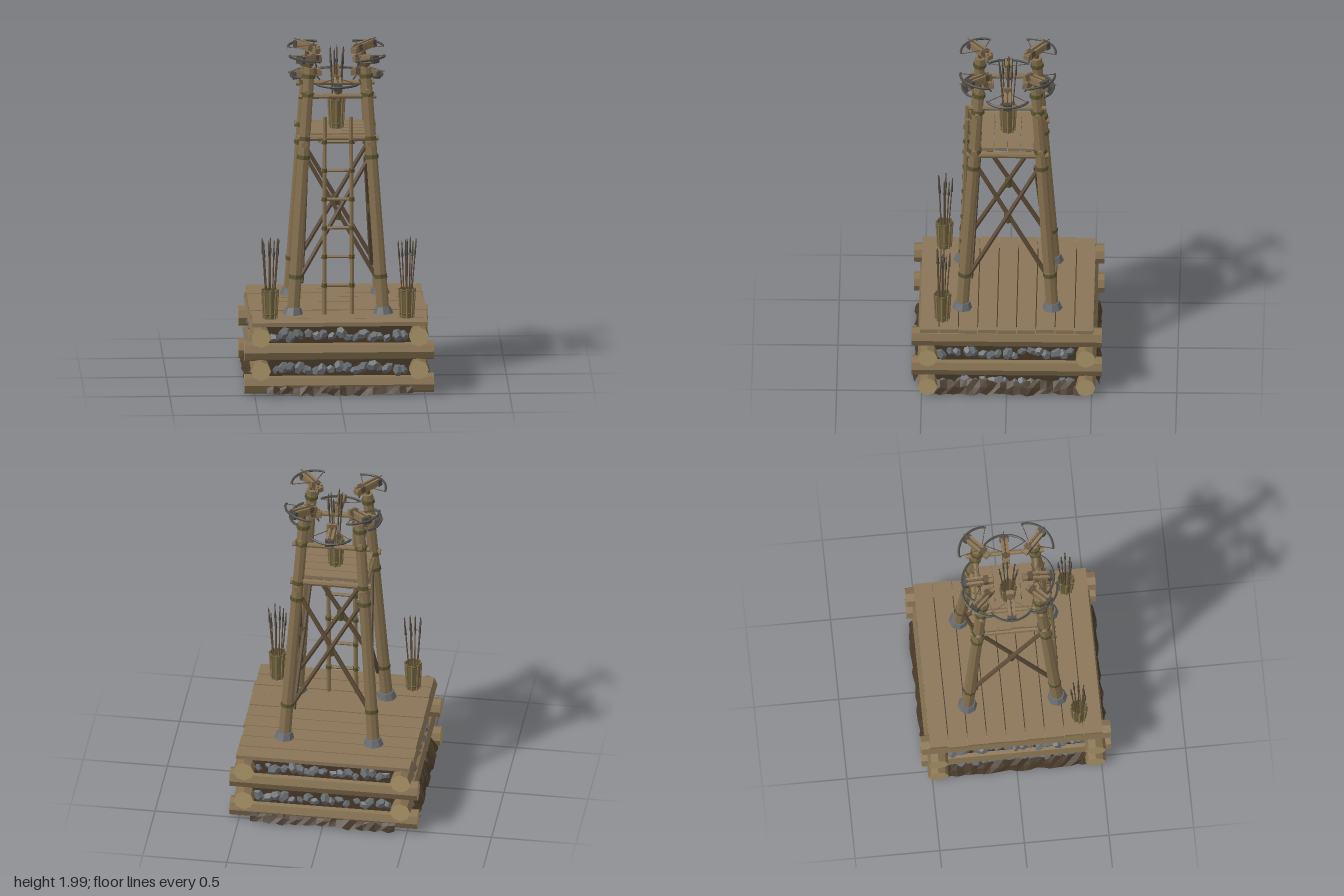
import * as THREE from 'three';

const mat = (color, side = THREE.FrontSide) => new THREE.MeshStandardMaterial({ color, flatShading: true, side });
const WOOD = mat(0x85704f), DARK = mat(0x5f4d38), PLANK = mat(0x8a7557), END = mat(0xae986c);
const STONE = mat(0x686c70), DIRT = mat(0x463828, THREE.DoubleSide), ROPE = mat(0x57522f), METAL = mat(0x4c4a45);
const V = (x, y, z) => new THREE.Vector3(x, y, z);

let seed = 7;
const rnd = () => (seed = (seed * 16807) % 2147483647) / 2147483647;
const jit = (a) => (rnd() - 0.5) * 2 * a;

function add(parent, name, geo, material, x = 0, y = 0, z = 0) {
  const m = new THREE.Mesh(geo, material);
  m.name = name;
  m.position.set(x, y, z);
  parent.add(m);
  return m;
}

// Round timber running from a to b
function pole(parent, name, a, b, r1, r2 = r1, material = WOOD, sides = 8) {
  const d = b.clone().sub(a);
  const m = add(parent, name, new THREE.CylinderGeometry(r2, r1, d.length(), sides), material);
  m.position.copy(a).addScaledVector(d, 0.5);
  m.quaternion.setFromUnitVectors(V(0, 1, 0), d.normalize());
  return m;
}

function box(parent, name, w, h, d, material, x, y, z) {
  return add(parent, name, new THREE.BoxGeometry(w, h, d), material, x, y, z);
}

// Ragged earth strip along x, sloping outwards towards +z
function earthSkirt(parent) {
  const n = 22, geo = new THREE.PlaneGeometry(0.86, 1, n, 2), p = geo.attributes.position;
  const rows = [[0.08, 0.5], [0.045, 0.53], [0.012, 0.548]];
  for (let i = 0; i < p.count; i++) {
    const [y, z] = rows[Math.floor(i / (n + 1))];
    p.setXYZ(i, p.getX(i), Math.max(0, y + jit(0.011)), z + jit(0.008));
  }
  geo.computeVertexNormals();
  add(parent, 'earthSkirt', geo, DIRT);
}

// Log crib with rubble packed in the gaps
function buildBase(root) {
  const base = new THREE.Group();
  base.name = 'base';
  root.add(base);
  const logMats = [WOOD, END, END];
  for (const s of [-1, 1]) {
    for (const y of [0.065, 0.262])
      pole(base, 'crossLog', V(-0.56, y, s * 0.465), V(0.556, y, s * 0.465), 0.06, 0.058, logMats);
    for (const y of [0.16, 0.36])
      pole(base, 'sideLog', V(s * 0.465, y, -0.56), V(s * 0.465, y, 0.56), 0.06, 0.058, logMats);
  }
  for (let k = 0; k < 4; k++) {
    const side = new THREE.Group();
    side.name = 'rubbleWall';
    side.rotation.y = k * Math.PI / 2;
    base.add(side);
    for (const y of k % 2 ? [0.06, 0.262] : [0.162, 0.36]) {
      box(side, 'earthFill', 0.86, 0.1, 0.06, DIRT, 0, y, 0.455);
      for (let i = 0; i < 17; i++) {
        const st = add(side, 'rubbleStone', new THREE.DodecahedronGeometry(0.03 + rnd() * 0.012), STONE,
          -0.38 + i * 0.0475 + jit(0.01), y + jit(0.016), 0.478 + jit(0.008));
        st.scale.set(1.1, 0.65 + rnd() * 0.25, 0.8);
        st.rotation.set(rnd() * 0.8, rnd() * 3, rnd() * 0.8);
      }
    }
    earthSkirt(side);
  }
  // Deck
  for (let i = 0; i < 9; i++)
    box(base, 'deckPlank', 1.035 + jit(0.006), 0.024, 0.108, PLANK, jit(0.004), 0.426 + jit(0.002), -0.455 + i * 0.1138);
  box(base, 'deckUnderside', 0.86, 0.008, 0.86, DIRT, 0, 0.41, 0);
}

// Inward-leaning leg centre line
const legAt = (y) => 0.265 - 0.1 * (y - 0.44) / 1.46;

function buildTower(root) {
  const tower = new THREE.Group();
  tower.name = 'tower';
  root.add(tower);
  const at = (sx, y, sz) => V(sx * legAt(y), y, sz * legAt(y));
  for (const sx of [-1, 1]) for (const sz of [-1, 1]) {
    pole(tower, 'leg', at(sx, 0.44, sz), at(sx, 1.9, sz), 0.037, 0.031);
    pole(tower, 'stoneFoot', at(sx, 0.436, sz), at(sx, 0.478, sz), 0.06, 0.045, STONE);
    for (const y of [0.66, 1.37, 1.48, 1.74, 1.85])
      pole(tower, 'legLashing', at(sx, y - 0.012, sz), at(sx, y + 0.012, sz), 0.04, 0.039, ROPE);
  }
  // Cross braces, platform beams and top rails on each side
  for (let k = 0; k < 4; k++) {
    const side = new THREE.Group();
    side.name = 'towerSide';
    side.rotation.y = k * Math.PI / 2;
    tower.add(side);
    for (const s of [-1, 1]) {
      const o = s * 0.012 - 0.025;
      pole(side, 'crossBrace', V(-s * 0.24, 0.62, legAt(0.62) + o), V(s * 0.19, 1.37, legAt(1.37) + o), 0.014, 0.013, DARK, 6);
    }
    pole(side, 'braceLashing', V(0, 0.99, 0.2), V(0, 1.05, 0.196), 0.022, 0.022, ROPE, 6);
    const beamY = k % 2 ? 1.45 : 1.482, railY = k % 2 ? 1.765 : 1.73;
    pole(side, 'platformBeam', V(-0.24, beamY, 0.195), V(0.24, beamY, 0.195), 0.019);
    pole(side, 'topRail', V(-0.23, railY, 0.178), V(0.23, railY, 0.178), 0.015);
    for (const s of [-1, 1]) {
      pole(side, 'beamLashing', V(s * 0.18, beamY, 0.195), V(s * 0.205, beamY, 0.195), 0.026, 0.026, ROPE);
      pole(side, 'railLashing', V(s * 0.165, railY, 0.178), V(s * 0.19, railY, 0.178), 0.021, 0.021, ROPE);
    }
  }
  // Platform floor
  for (let i = 0; i < 4; i++)
    box(tower, 'platformPlank', 0.4 + jit(0.01), 0.02, 0.073, PLANK, 0, 1.49, -0.117 + i * 0.078);
  for (const x of [-0.1, 0.1]) box(tower, 'platformJoist', 0.03, 0.025, 0.38, WOOD, x, 1.466, 0);
}

function buildLadder(root) {
  const ladder = new THREE.Group();
  ladder.name = 'ladder';
  root.add(ladder);
  const zAt = (y) => 0.275 - 0.035 * (y - 0.44) / 1.18;
  for (const s of [-1, 1])
    pole(ladder, 'ladderRail', V(s * 0.082, 0.438, zAt(0.44)), V(s * 0.077, 1.62, zAt(1.62)), 0.014, 0.013, WOOD, 6);
  for (let i = 0; i < 6; i++) {
    const y = 0.61 + i * 0.172;
    pole(ladder, 'rung', V(-0.1, y, zAt(y)), V(0.1, y, zAt(y)), 0.01, 0.01, WOOD, 6);
    for (const s of [-1, 1])
      pole(ladder, 'rungLashing', V(s * 0.08, y - 0.012, zAt(y)), V(s * 0.08, y + 0.012, zAt(y)), 0.018, 0.018, ROPE, 6);
  }
}

// Open tub of slats holding javelins
function quiver(root, x, y, z) {
  const g = new THREE.Group();
  g.name = 'quiver';
  g.position.set(x, y, z);
  root.add(g);
  const tub = mat(0x6b6038, THREE.DoubleSide);
  add(g, 'quiverWall', new THREE.CylinderGeometry(0.046, 0.037, 0.175, 8, 1, true), tub, 0, 0.0875, 0);
  add(g, 'quiverFloor', new THREE.CylinderGeometry(0.037, 0.037, 0.01, 8), DARK, 0, 0.008, 0);
  for (const [h, r] of [[0.03, 0.039], [0.168, 0.046]])
    add(g, 'quiverHoop', new THREE.TorusGeometry(r, 0.005, 5, 8), ROPE, 0, h, 0).rotation.set(Math.PI / 2, 0, Math.PI / 8);
  for (let i = 0; i < 8; i++) {
    const a = i * Math.PI / 4, c = Math.cos(a), s = Math.sin(a);
    pole(g, 'quiverSlat', V(c * 0.038, 0, s * 0.038), V(c * 0.048, 0.178, s * 0.048), 0.006, 0.006, WOOD, 4);
  }
  for (let i = 0; i < 7; i++) {
    const a = i * 2.4, c = Math.cos(a), s = Math.sin(a), h = 0.44 + rnd() * 0.04, r = 0.03 + rnd() * 0.025;
    const tip = V(c * r, h, s * r), foot = V(c * 0.018, 0.02, s * 0.018);
    pole(g, 'javelin', foot, tip, 0.004, 0.004, DARK, 5);
    const neck = foot.clone().lerp(tip, 0.82);
    pole(g, 'javelinFletching', neck, foot.clone().lerp(tip, 0.94), 0.007, 0.004, METAL, 4);
    pole(g, 'javelinTip', tip, tip.clone().add(V(0, 0.022, 0)), 0.005, 0.0005, METAL, 5);
  }
}

// Crossbow pointing along its own +z, starting at the butt
function crossbow(root, angle, radius, y, tilt) {
  const mount = new THREE.Group(), g = new THREE.Group();
  mount.name = 'crossbowMount';
  g.name = 'crossbow';
  mount.rotation.y = angle;
  mount.add(g);
  root.add(mount);
  g.position.set(0, y, radius);
  g.rotation.x = -tilt;
  box(g, 'stock', 0.042, 0.032, 0.165, WOOD, 0, 0, 0.085);
  for (const s of [-1, 1]) box(g, 'stockRail', 0.012, 0.014, 0.15, PLANK, s * 0.015, 0.022, 0.085);
  box(g, 'triggerBlock', 0.046, 0.036, 0.03, DARK, 0, 0.012, 0.045);
  box(g, 'bowClamp', 0.052, 0.044, 0.025, METAL, 0, 0.003, 0.165);
  const limb = new THREE.CatmullRomCurve3([V(-0.122, 0.008, 0.125), V(-0.105, 0.008, 0.147), V(-0.06, 0.008, 0.175),
    V(0, 0.008, 0.187), V(0.06, 0.008, 0.175), V(0.105, 0.008, 0.147), V(0.122, 0.008, 0.125)]);
  add(g, 'bowLimb', new THREE.TubeGeometry(limb, 18, 0.0075, 5), METAL);
  for (const s of [-1, 1])
    pole(g, 'bowString', V(s * 0.118, 0.008, 0.13), V(0, 0.024, 0.06), 0.0025, 0.0025, DARK, 4);
  pole(g, 'bolt', V(0, 0.026, 0.055), V(0, 0.026, 0.2), 0.004, 0.003, DARK, 5);
  pole(g, 'trigger', V(0, -0.012, 0.04), V(0, -0.045, 0.02), 0.005, 0.005, METAL, 5);
  pole(mount, 'swivelPost', V(0, y - 0.09, radius + 0.09), V(0, y - 0.005, radius + 0.09), 0.016, 0.013, DARK, 6);
}

export function createModel() {
  seed = 7;
  const root = new THREE.Group();
  root.name = 'watchtower';
  buildBase(root);
  buildTower(root);
  buildLadder(root);
  quiver(root, -0.405, 0.438, 0.38);
  quiver(root, 0.4, 0.438, 0.38);
  quiver(root, 0, 1.5, 0);
  for (let k = 0; k < 4; k++) {
    const a = k * Math.PI / 2;
    crossbow(root, a, 0.083, k % 2 ? 1.835 : 1.815, -0.12);
    crossbow(root, a + Math.PI / 4, 0.145, 1.935, 0.12);
  }
  return root;
}
